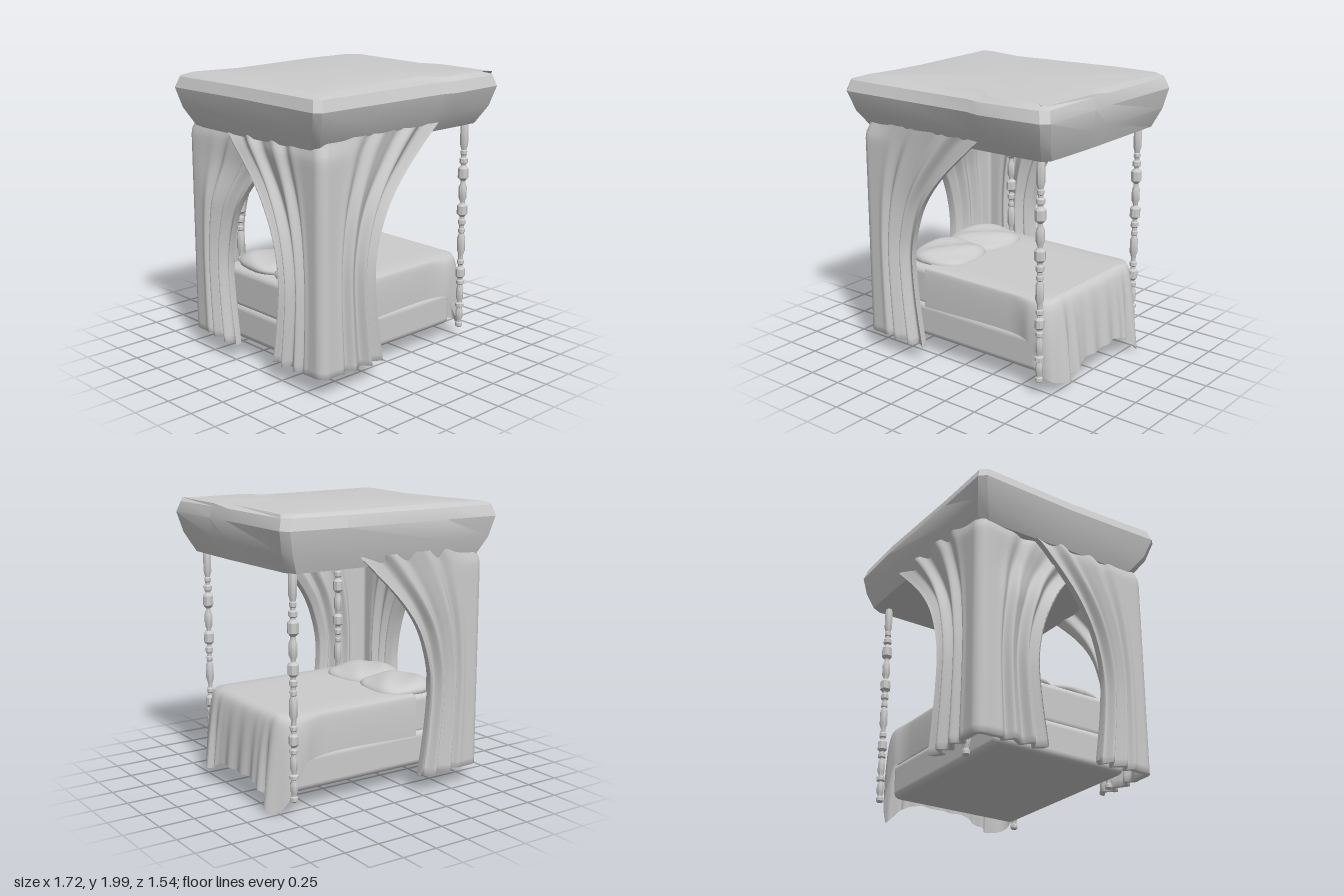
import * as THREE from 'three';
import { toCreasedNormals } from 'three/addons/utils/BufferGeometryUtils.js';
import { RoundedBoxGeometry } from 'three/addons/geometries/RoundedBoxGeometry.js';

const { lerp, smoothstep } = THREE.MathUtils;
const solid = new THREE.MeshStandardMaterial({ color: 0xcccccc });
const cloth = new THREE.MeshStandardMaterial({ color: 0xcccccc, side: THREE.DoubleSide });

function add(group, name, geometry, material = solid) {
  const mesh = new THREE.Mesh(geometry, material);
  mesh.name = name;
  group.add(mesh);
  return mesh;
}

// Grid surface from a function of column and row, both 0..1
function sheet(nu, nv, point) {
  const pos = [], index = [];
  for (let j = 0; j <= nv; j++) {
    for (let i = 0; i <= nu; i++) pos.push(...point(i / nu, j / nv));
  }
  for (let j = 0; j < nv; j++) {
    for (let i = 0; i < nu; i++) {
      const a = j * (nu + 1) + i, d = a + nu + 1;
      index.push(a, a + 1, d, a + 1, d + 1, d);
    }
  }
  const g = new THREE.BufferGeometry();
  g.setAttribute('position', new THREE.Float32BufferAttribute(pos, 3));
  g.setIndex(index);
  g.computeVertexNormals();
  return g;
}

// Closed solid from stacked rings of [x, z] points with heights
function loft(rings, heights) {
  const n = rings[0].length, pos = [], index = [];
  rings.forEach((ring, j) => ring.forEach(([x, z]) => pos.push(x, heights[j], z)));
  for (let j = 0; j < rings.length - 1; j++) {
    for (let i = 0; i < n; i++) {
      const k = (i + 1) % n, a = j * n + i, b = j * n + k;
      index.push(a, b, a + n, b, b + n, a + n);
    }
  }
  const last = rings.length - 1, low = pos.length / 3;
  pos.push(0, heights[0], 0, 0, heights[last], 0);
  for (let i = 0; i < n; i++) {
    const k = (i + 1) % n;
    index.push(low, k, i, low + 1, last * n + i, last * n + k);
  }
  const g = new THREE.BufferGeometry();
  g.setAttribute('position', new THREE.Float32BufferAttribute(pos, 3));
  g.setIndex(index);
  return toCreasedNormals(g, 0.5);
}

// Smooth interpolation through [key, value] pairs
function ease(table, k) {
  if (k <= table[0][0]) return table[0][1];
  for (let i = 1; i < table.length; i++) {
    const [k0, v0] = table[i - 1], [k1, v1] = table[i];
    if (k <= k1) {
      const slope = (p) => {
        const a = table[Math.max(p - 1, 0)], b = table[Math.min(p + 1, table.length - 1)];
        return (b[1] - a[1]) / (b[0] - a[0]);
      };
      const h = k1 - k0, t = (k - k0) / h, s = 1 - t;
      return s * s * (1 + 2 * t) * v0 + t * s * s * h * slope(i - 1)
        + t * t * (3 - 2 * t) * v1 - t * t * s * h * slope(i);
    }
  }
  return table[table.length - 1][1];
}

// Heavy canopy with bulging sides and uneven, chipped edges
function canopy() {
  const bottom = [[-0.72, 0.6], [-0.4, 0.62], [0.24, 0.62], [0.36, 0.62], [0.73, 0.61], [0.77, 0.56],
    [0.78, 0.2], [0.78, 0], [0.77, -0.62], [0.73, -0.69], [0.4, -0.7], [-0.4, -0.7], [-0.71, -0.69],
    [-0.75, -0.63], [-0.76, 0], [-0.75, 0.55]];
  const wide = [[-0.82, 0.74], [-0.4, 0.74], [0.24, 0.74], [0.36, 0.77], [0.81, 0.74], [0.855, 0.69],
    [0.85, 0.2], [0.84, 0], [0.855, -0.7], [0.81, -0.75], [0.4, -0.77], [-0.4, -0.76], [-0.82, -0.765],
    [-0.86, -0.72], [-0.84, 0], [-0.86, 0.7]];
  const top = [[-0.75, 0.64], [-0.4, 0.61], [0.24, 0.55], [0.36, 0.69], [0.74, 0.65], [0.8, 0.7],
    [0.82, 0.2], [0.76, 0.05], [0.81, -0.64], [0.74, -0.7], [0.4, -0.71], [-0.4, -0.63], [-0.72, -0.69],
    [-0.77, -0.66], [-0.7, 0.05], [-0.77, 0.58]];
  const belly = bottom.map(([x, z], i) => [lerp(x, wide[i][0], 0.65), lerp(z, wide[i][1], 0.65)]);
  const rim = wide.map(([x, z]) => [x * 0.97, z * 0.965]);
  const inner = top.map(([x, z]) => [x * 0.97, z * 0.97]);
  return loft([bottom, belly, wide, rim, top, inner], [1.63, 1.76, 1.9, 1.975, 1.997, 2]);
}

// Thick curtain wrapping one head corner, swept open on the long side and at the head
const sideEdge = [[0.14, -0.23], [0.5, -0.285], [0.8, -0.305], [1, -0.27], [1.2, -0.19], [1.4, -0.04], [1.64, 0.21], [1.7, 0.28]];
const headEdge = [[0.14, 0.2], [0.5, 0.25], [0.75, 0.26], [1, 0.21], [1.2, 0.12], [1.37, 0], [1.63, -0.25], [1.7, -0.32]];
function curtain(side, z0, overlap) {
  const r = 0.07, thickness = 0.045;
  return sheet(320, 36, (c, v) => {
    // First half of the columns runs along the outside, second half returns inside
    const u = c <= 0.5 ? c * 2 : 2 - c * 2;
    const inside = c > 0.5 && c < 1 ? 1 : 0;
    const depth = thickness * (v === 0 ? 0.5 : inside);
    const y = 0.14 + 1.56 * Math.max(0, (v - 1 / 36) * 36 / 35);
    const lean = 0.03 * smoothstep(y, 1.58, 1.7);
    const x0 = -0.768 + lean;
    const w = Math.abs(u - 0.5) * 2;
    const gather = 1 - 0.4 * smoothstep(y, 1.1, 1.6);
    const fold = smoothstep(w, 0.2, 0.5) * gather
      * (0.026 * Math.sin((w - 0.22) * Math.PI * 8.2) + 0.008 * Math.sin(w * 43)) - depth;
    let x, z, angle;
    if (u < 0.45) {
      x = lerp(ease(sideEdge, y), x0 + r, u / 0.45);
      z = z0 - lean * smoothstep(u, 0.3, 0.45);
      angle = 0;
    } else if (u > 0.55) {
      const t = (u - 0.55) / 0.45;
      x = x0 + overlap * smoothstep(y, 1.1, 1.45) * smoothstep(t, 0, 0.5);
      z = lerp(z0 - r - lean, ease(headEdge, y), t);
      angle = Math.PI / 2;
    } else {
      angle = (u - 0.45) / 0.1 * Math.PI / 2;
      x = x0 + r - r * Math.sin(angle);
      z = z0 - lean - r + r * Math.cos(angle);
    }
    return [x - fold * Math.sin(angle), y, side * (z + fold * Math.cos(angle))];
  });
}

// Turned post: a stack of blocks and beads given as [centre, half height, radius]
function post() {
  const beads = [[0.13, 0.02, 0.026], [0.21, 0.045, 0.026], [0.28, 0.02, 0.032], [0.37, 0.055, 0.026],
    [0.455, 0.02, 0.028], [0.53, 0.045, 0.034], [0.61, 0.02, 0.026], [0.745, 0.08, 0.029], [0.845, 0.02, 0.024],
    [0.91, 0.025, 0.028], [1, 0.05, 0.038], [1.13, 0.065, 0.029], [1.27, 0.055, 0.038], [1.36, 0.025, 0.03],
    [1.42, 0.02, 0.024], [1.54, 0.1, 0.029]];
  const profile = [new THREE.Vector2(0, 0.11)];
  for (const [c, h, r] of beads) {
    profile.push(new THREE.Vector2(0.018, c - h), new THREE.Vector2(r, c - h * 0.6),
      new THREE.Vector2(r, c + h * 0.6), new THREE.Vector2(0.018, c + h));
  }
  return toCreasedNormals(new THREE.LatheGeometry(profile, 8), 0.6);
}

// Blanket: flat top, short along the sides, hanging low over the foot
function blanket() {
  const path = new THREE.CurvePath();
  const v = (x, z) => new THREE.Vector2(x, z);
  path.add(new THREE.LineCurve(v(-0.36, 0.49), v(0.6, 0.49)));
  path.add(new THREE.QuadraticBezierCurve(v(0.6, 0.49), v(0.7, 0.49), v(0.7, 0.39)));
  path.add(new THREE.LineCurve(v(0.7, 0.39), v(0.7, -0.4)));
  path.add(new THREE.QuadraticBezierCurve(v(0.7, -0.4), v(0.7, -0.5), v(0.6, -0.5)));
  path.add(new THREE.LineCurve(v(0.6, -0.5), v(-0.36, -0.5)));
  const hem = [[0, 0.36], [0.3, 0.37], [0.32, 0.3], [0.34, 0.12], [0.375, 0.09], [0.43, 0.17], [0.5, 0.18], [0.57, 0.18],
    [0.62, 0.11], [0.65, 0.01], [0.675, 0.2], [0.695, 0.35], [1, 0.36]];
  return sheet(200, 24, (u, t) => {
    const p = path.getPoint(u), q = path.getTangent(u);
    const nx = -q.y, nz = q.x;
    if (t < 0.2) return [Math.min(p.x, 0.69), 0.66, p.y * t / 0.2 * 0.97];
    const d = (t - 0.2) / 0.8;
    const foot = smoothstep(p.x, 0.4, 0.7);
    const corner = Math.exp(-(((Math.abs(u - 0.5) - 0.13) / 0.045) ** 2));
    const out = (0.03 + 0.075 * foot) * Math.pow(d, 0.4)
      + d * foot * (0.01 * Math.sin(u * 110) + 0.022 * corner * Math.sin(u * 190));
    const y = lerp(0.655, ease(hem, u), d);
    return [p.x + nx * out, y, p.y + nz * out * (1 - 0.4 * d)];
  });
}

// Soft pillow: a sphere squared off toward a plump, rumpled cushion
function pillow() {
  const g = new THREE.SphereGeometry(1, 32, 20);
  const p = g.attributes.position;
  const square = (a) => Math.sign(a) * Math.pow(Math.abs(a), 0.7);
  for (let i = 0; i < p.count; i++) {
    const x = square(p.getX(i)), z = square(p.getZ(i));
    const y = p.getY(i) * (1 + 0.14 * Math.sin(x * 5 + z * 4));
    p.setXYZ(i, x * 0.23, y * 0.066, z * 0.25);
  }
  g.computeVertexNormals();
  return g;
}

export function createModel() {
  const model = new THREE.Group();
  model.name = 'canopyBed';

  add(model, 'canopy', canopy());
  add(model, 'frontCurtain', curtain(1, 0.67, 0), cloth);
  add(model, 'backCurtain', curtain(-1, 0.72, 0.05), cloth);

  // Four turned posts
  const postGeometry = post();
  for (const x of [0.69, -0.43]) {
    for (const z of [0.56, -0.58]) {
      add(model, x > 0 ? 'footPost' : 'headPost', postGeometry).position.set(x, 0, z);
    }
  }

  // Bed base and mattress
  add(model, 'bedBase', new RoundedBoxGeometry(1.32, 0.26, 1.02, 3, 0.05)).position.set(-0.01, 0.26, 0);
  add(model, 'mattress', new RoundedBoxGeometry(1.32, 0.3, 0.98, 3, 0.05)).position.set(0, 0.5, 0);

  add(model, 'blanket', blanket(), cloth);

  // Two pillows at the head
  const pillowGeometry = pillow();
  for (const s of [1, -1]) {
    const mesh = add(model, 'pillow', pillowGeometry);
    mesh.position.set(-0.4, 0.66, s * 0.2 - 0.02);
    mesh.rotation.set(0, s * 0.12, -0.04);
  }
  return model;
}
